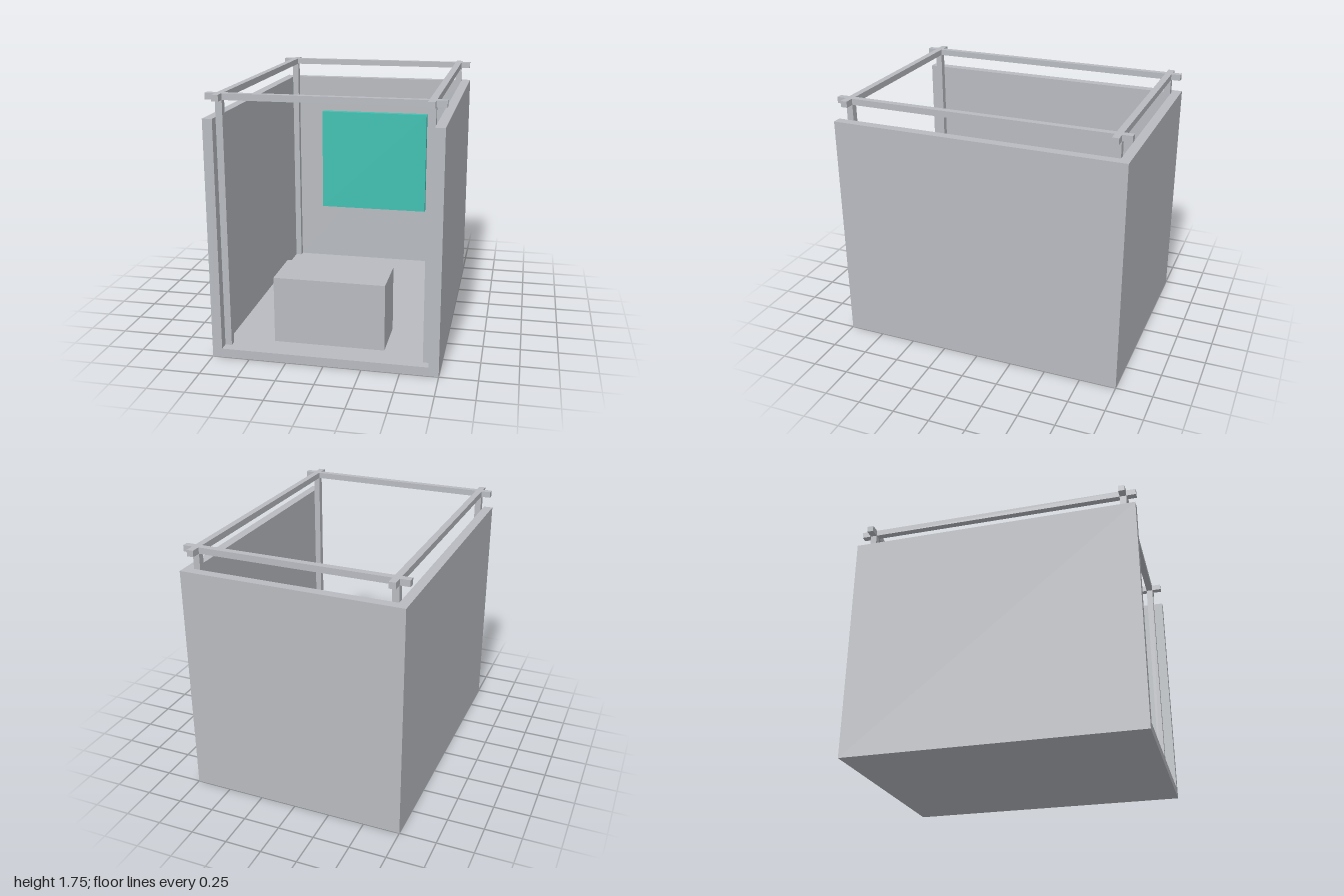
import * as THREE from 'three';

export function createModel() {
  const grey = new THREE.MeshStandardMaterial({ color: 0xb8bbc0 });
  grey.name = 'light grey';
  const teal = new THREE.MeshStandardMaterial({ color: 0x40c1b3 });
  teal.name = 'teal';

  const model = new THREE.Group();
  model.name = 'booth';

  // Box given by its lower and upper limits on each axis
  function box(name, [x0, x1], [y0, y1], [z0, z1], material = grey) {
    const mesh = new THREE.Mesh(new THREE.BoxGeometry(x1 - x0, y1 - y0, z1 - z0), material);
    mesh.position.set((x0 + x1) / 2, (y0 + y1) / 2, (z0 + z1) / 2);
    mesh.name = name;
    model.add(mesh);
  }
  // Range mirrored to the negative side when s is -1
  const side = (s, a, b) => (s > 0 ? [a, b] : [-b, -a]);

  const W = 0.75, D = 1, wallTop = 1.6, floorTop = 0.06;
  const inX = 0.685, inZ = 0.935, bar = 0.045;
  const beamY = [1.708, 1.75];

  // Open-fronted shell
  box('floor', [-inX, inX], [0, floorTop], [-inZ, D]);
  box('backWall', [-inX, inX], [0, wallTop], [-D, -inZ]);
  for (const s of [-1, 1]) {
    box(s > 0 ? 'leftWall' : 'rightWall', side(s, inX, W), [0, wallTop], [-D, D]);
  }

  // Overhead frame: crossing beams carried by corner posts
  for (const s of [-1, 1]) {
    box('sideBeam', side(s, inX - bar, inX), beamY, [-D, D]);
    box('crossBeam', [-W, W], beamY, side(s, inZ - bar, inZ));
    for (const t of [-1, 1]) {
      box('post', side(s, inX - bar, inX), [floorTop, beamY[0]], side(t, inZ - bar, inZ));
    }
  }

  // Counter near the entrance and display panel at the back
  box('counter', [-0.375, 0.372], [floorTop, 0.515], [0.468, 0.818]);
  box('displayPanel', [-0.43, 0.427], [0.525, 1.33], [-0.89, -0.839], teal);

  return model;
}
